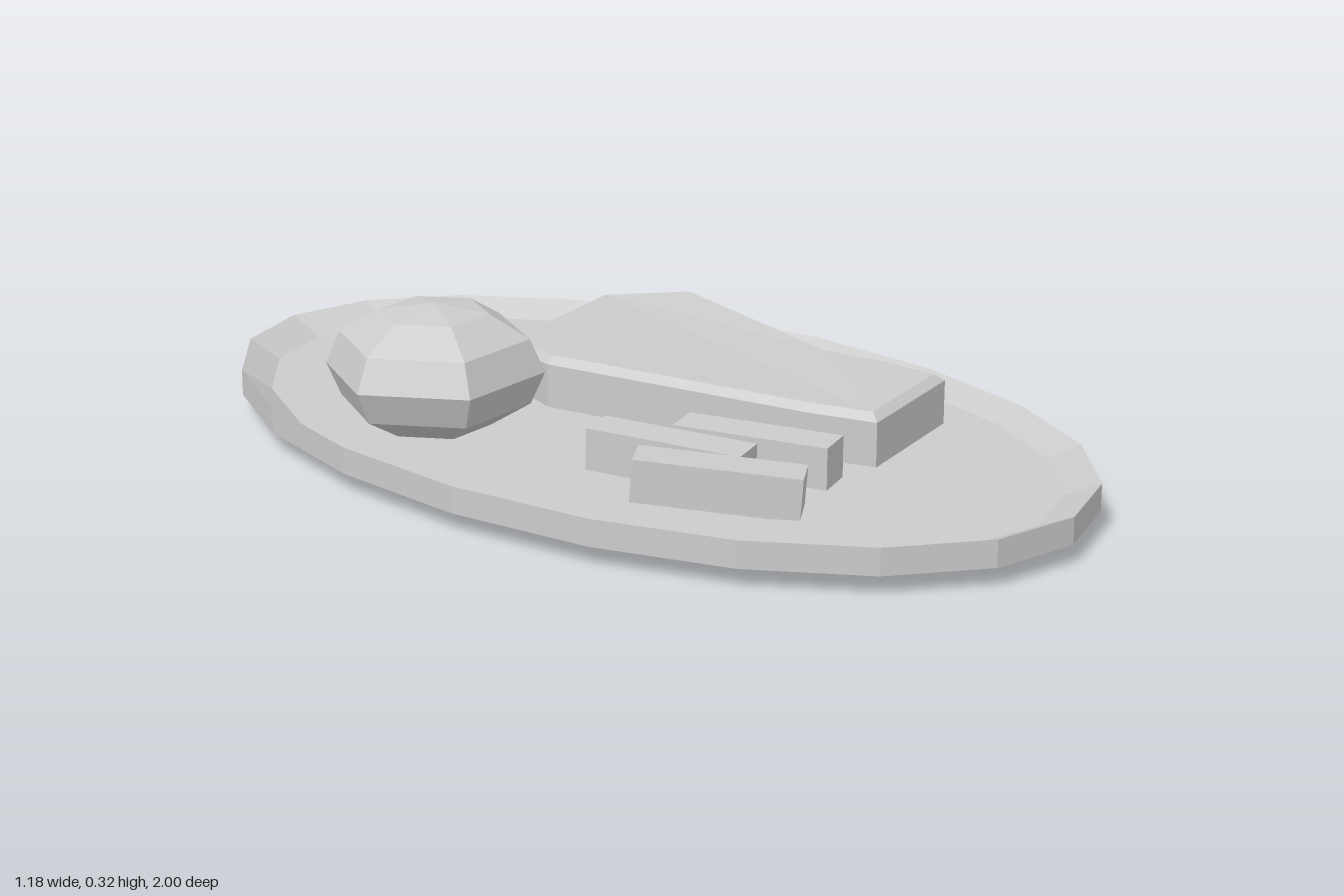
import * as THREE from 'three';

const FLOOR = 0.06; // height of the plate's sunken floor

export function createModel() {
  const group = new THREE.Group();
  const material = new THREE.MeshStandardMaterial({ color: 0xcccccc, flatShading: true });
  const add = (name, geometry) => {
    const mesh = new THREE.Mesh(geometry, material);
    mesh.name = name;
    group.add(mesh);
    return mesh;
  };

  // Oval plate with a sloped underside and a shallow rim
  const profile = [[0, 0], [0.7, 0], [1, 0.04], [1, 0.095], [0.925, FLOOR], [0, FLOOR]]
    .map(([r, y]) => new THREE.Vector2(r, y));
  add('plate', new THREE.LatheGeometry(profile, 20).scale(0.59, 1, 1));

  // Faceted scoop of mash
  add('mashScoop', new THREE.SphereGeometry(1, 6, 6).scale(0.225, 0.135, 0.225))
    .position.set(-0.28, 0.185, -0.32);

  // Slab of meat: bevelled outline (x, z), thinner at the back end
  const outline = [
    [0.02, -0.4], [0.41, -0.455], [0.52, -0.28], [0.36, 0.2], [0.375, 0.33],
    [0.37, 0.475], [0.07, 0.515], [0.035, 0.37], [-0.05, -0.22],
  ].map(([x, z]) => new THREE.Vector2(x, -z));
  const meat = new THREE.ExtrudeGeometry(new THREE.Shape(outline), {
    depth: 0.095, bevelThickness: 0.015, bevelSize: 0.018, bevelOffset: -0.018, bevelSegments: 1,
  });
  meat.rotateX(-Math.PI / 2).translate(0, FLOOR - 0.003, 0);
  const p = meat.attributes.position;
  for (let i = 0; i < p.count; i++) {
    if (p.getZ(i) < -0.35 && p.getY(i) > 0.1) p.setY(i, p.getY(i) - 0.014);
  }
  add('meatSlab', meat);

  // Chips: x, z, top height at the middle, yaw, pitch
  const chips = [
    [-0.233, 0.245, 0.15, 0.237, 0.03],
    [-0.094, 0.349, 0.146, 0.237, 0],
    [-0.297, 0.409, 0.152, 0.52, 0.07],
  ];
  const thickness = 0.085;
  chips.forEach(([x, z, top, yaw, pitch], i) => {
    const chip = add(`chip${i + 1}`, new THREE.BoxGeometry(0.083, thickness, 0.322));
    chip.position.set(x, top - thickness / 2, z);
    chip.rotation.set(pitch, yaw, 0, 'YXZ');
  });

  return group;
}
